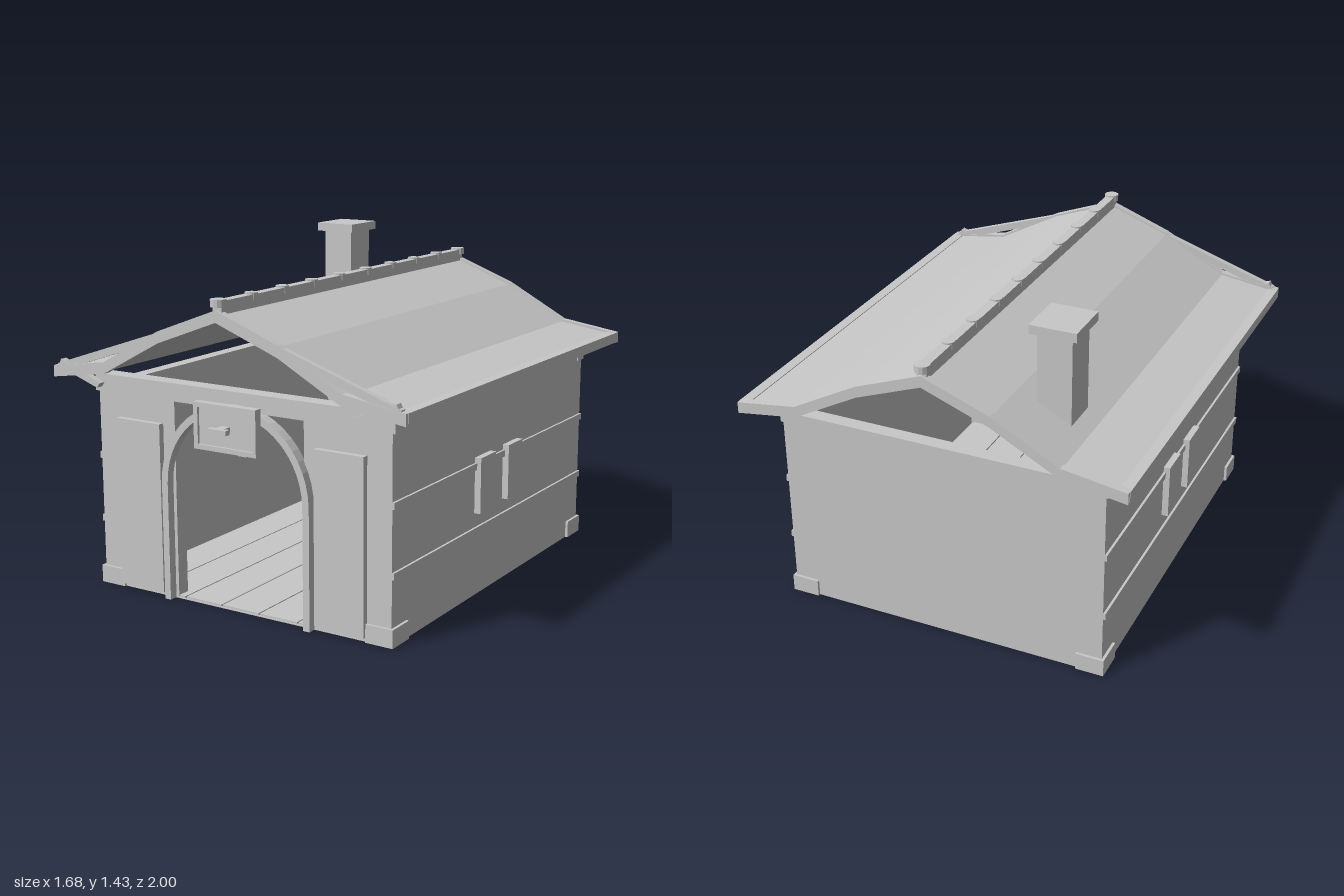
import * as THREE from 'three';

export function createModel() {
  const root = new THREE.Group();
  root.name = 'house';
  const grey = new THREE.MeshStandardMaterial({ color: 0xc8c8c8, flatShading: true });
  grey.name = 'plain grey';

  const add = (name, geometry, parent = root) => {
    const mesh = new THREE.Mesh(geometry, grey);
    mesh.name = name;
    parent.add(mesh);
    return mesh;
  };
  // Box given by its lower and upper limits on each axis
  const box = (name, x0, x1, y0, y1, z0, z1) => {
    const mesh = add(name, new THREE.BoxGeometry(x1 - x0, y1 - y0, z1 - z0));
    mesh.position.set((x0 + x1) / 2, (y0 + y1) / 2, (z0 + z1) / 2);
    return mesh;
  };
  // The same box on both sides of x = 0
  const pair = (name, x0, x1, ...rest) => {
    box(name + 'Left', x0, x1, ...rest);
    box(name + 'Right', -x1, -x0, ...rest);
  };
  // Outline in x and y, pulled along z
  const extrude = (name, shape, z0, z1) => {
    const g = new THREE.ExtrudeGeometry(shape, { depth: z1 - z0, bevelEnabled: false, curveSegments: 12 });
    g.translate(0, 0, z0);
    return add(name, g);
  };
  const outline = (pts) => new THREE.Shape(pts.map(([x, y]) => new THREE.Vector2(x, y)));

  // Floor planks running front to back
  box('floorBase', -0.71, 0.71, 0, 0.004, -0.865, 0.86);
  for (let i = 0; i < 7; i++) {
    const x = -0.65 + i * 0.186;
    box('floorPlank', x, x + 0.18, 0.004, 0.012, -0.81, 0.855);
  }

  // Walls and the beams on top of them
  pair('sideWall', 0.66, 0.71, 0, 0.84, -0.868, 0.858);
  box('backWall', -0.66, 0.66, 0, 0.84, -0.868, -0.82);
  pair('frontWall', 0.315, 0.66, 0, 0.84, 0.8, 0.858);
  pair('sideTopBeam', 0.655, 0.715, 0.835, 0.872, -0.81, 0.79);
  box('frontTopBeam', -0.725, 0.725, 0.84, 0.915, 0.79, 0.865);
  box('backTopBeam', -0.72, 0.72, 0.835, 0.885, -0.872, -0.81);
  for (const y of [0.27, 0.547]) pair('wallBatten', 0.705, 0.72, y, y + 0.028, -0.868, 0.858);
  for (const [z0, z1] of [[0.745, 0.87], [-0.88, -0.75]]) pair('cornerFoot', 0.6, 0.722, 0, 0.075, z0, z1);

  // Side windows with open shutters
  pair('windowPane', 0.71, 0.716, 0.397, 0.547, -0.045, 0.04);
  pair('frontShutter', 0.705, 0.738, 0.36, 0.598, 0.055, 0.19);
  pair('backShutter', 0.705, 0.738, 0.36, 0.598, -0.198, -0.065);

  // Door panels beside the arch
  pair('doorPanel', 0.375, 0.6, 0.02, 0.74, 0.855, 0.884);

  // Arch around the doorway
  const arch = new THREE.Shape();
  arch.moveTo(0.36, 0);
  arch.lineTo(0.36, 0.5);
  arch.absellipse(0, 0.5, 0.36, 0.365, 0, Math.PI, false);
  arch.lineTo(-0.36, 0);
  arch.lineTo(-0.33, 0);
  arch.lineTo(-0.33, 0.5);
  arch.absellipse(0, 0.5, 0.33, 0.335, Math.PI, 0, true);
  arch.lineTo(0.33, 0);
  extrude('doorArch', arch, 0.85, 0.895);

  // Hanging sign with a raised border and a knob
  box('signBoard', -0.13, 0.13, 0.705, 0.855, 0.912, 0.934);
  pair('signBorder', 0.13, 0.15, 0.685, 0.875, 0.91, 0.945);
  box('signBorderTop', -0.13, 0.13, 0.855, 0.875, 0.91, 0.945);
  box('signBorderBottom', -0.13, 0.13, 0.685, 0.705, 0.91, 0.945);
  box('signBracket', -0.02, 0.02, 0.77, 0.79, 0.89, 0.985);
  box('signKnob', -0.045, 0.045, 0.77, 0.79, 0.97, 0.997);
  box('hangingPost', -0.02, 0.02, 0.645, 0.84, 0.8, 0.83);

  // Roof: sheet, rims at both gables and boards along the eaves
  const top = [[0, 1.245], [0.285, 1.14], [0.57, 0.985], [0.84, 0.945]];
  const rimTop = [[0, 1.255], [0.285, 1.148], [0.57, 0.995], [0.84, 0.955]];
  const slab = (line, t) => {
    const full = [...line.slice(1).reverse().map(([x, y]) => [-x, y]), ...line];
    return outline([...full, ...full.map(([x, y]) => [x, y - t]).reverse()]);
  };
  extrude('roofSheet', slab(top, 0.03), -0.955, 0.955);
  extrude('frontRoofRim', slab(rimTop, 0.048), 0.955, 0.988);
  extrude('backRoofRim', slab(rimTop, 0.048), -0.988, -0.955);
  pair('eaveBoard', 0.797, 0.842, 0.91, 0.955, -0.975, 0.975);

  // Straight front gable boards and crossing tips
  for (const s of [-1, 1]) {
    extrude('gableBoard', outline([[s * 0.28, 1.145], [s * 0.82, 0.965], [s * 0.81, 0.935], [s * 0.28, 1.11]]), 0.957, 0.984);
    extrude('gableTip', outline([[s * 0.595, 0.905], [s * 0.8, 0.985], [s * 0.815, 0.955], [s * 0.61, 0.885]]), 0.955, 0.986);
  }

  // Ridge bar with a row of round caps
  box('ridgeBar', -0.021, 0.021, 1.235, 1.29, -0.975, 0.975);
  for (let i = 0; i < 10; i++) {
    const end = i === 0 || i === 9;
    const cap = add('ridgeCap', new THREE.CylinderGeometry(end ? 0.032 : 0.027, end ? 0.032 : 0.027, 0.03, 12));
    cap.position.set(0, 1.282, -0.966 + i * 0.2147);
  }

  // Chimney
  box('chimneyShaft', -0.505, -0.36, 0.978, 1.39, -0.725, -0.56);
  box('chimneyCap', -0.53, -0.335, 1.39, 1.428, -0.747, -0.533);

  // Desk with a mug and a book
  box('deskTop', -0.265, 0.265, 0.24, 0.27, -0.55, -0.2);
  pair('deskSide', 0.215, 0.25, 0.012, 0.24, -0.53, -0.22);
  box('deskPanel', -0.215, 0.215, 0.012, 0.235, -0.26, -0.235);
  box('book', 0.05, 0.2, 0.27, 0.285, -0.42, -0.3);
  const mug = add('mug', new THREE.CylinderGeometry(0.034, 0.034, 0.065, 12));
  mug.position.set(-0.14, 0.3025, -0.35);

  // Back wall furnishings
  box('backBench', -0.33, 0.33, 0.1, 0.118, -0.82, -0.65);
  box('backBoard', -0.31, 0.31, 0.745, 0.835, -0.82, -0.79);
  box('backRail', -0.655, 0.655, 0.645, 0.7, -0.82, -0.8);
  box('wallPicture', -0.235, -0.07, 0.418, 0.635, -0.82, -0.79);
  box('pictureBar', -0.157, -0.145, 0.44, 0.61, -0.79, -0.782);

  return root;
}
